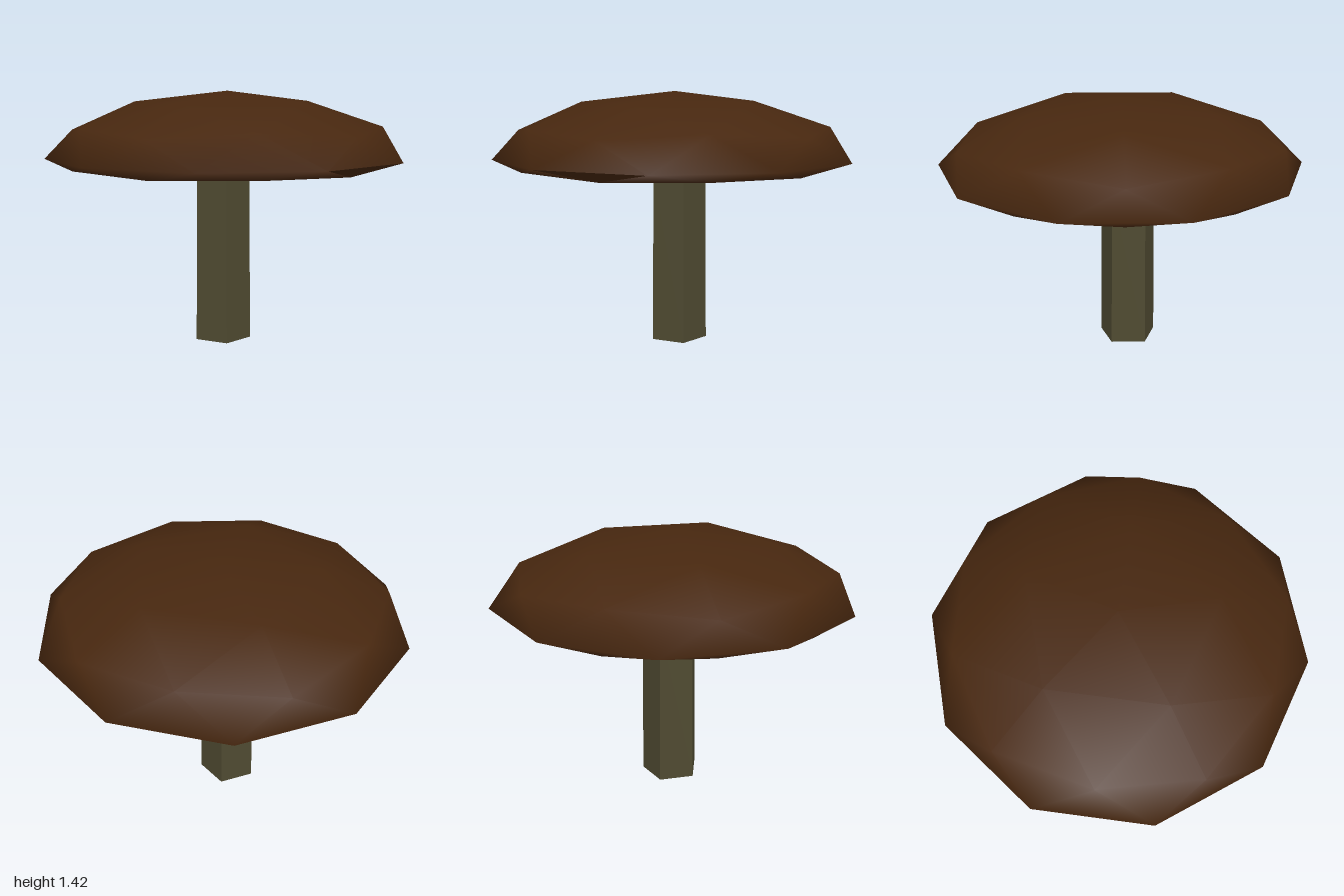
import * as THREE from 'three';

// Ring of n points; radius and height alternate through the given lists
function ring(n, startDeg, radii, heights, cx = 0) {
  return Array.from({ length: n }, (_, i) => {
    const a = THREE.MathUtils.degToRad(startDeg + (360 / n) * i);
    const r = radii[i % radii.length];
    return new THREE.Vector3(cx + r * Math.cos(a), heights[i % heights.length], r * Math.sin(a));
  });
}
const at = (list, i) => list[(i + list.length) % list.length];

// Mesh from triangles of shared points; smooth shares normals, otherwise faceted
function build(name, faces, material, smooth) {
  const points = [...new Set(faces.flat())];
  let geometry = new THREE.BufferGeometry().setFromPoints(points);
  geometry.setIndex(faces.flat().map((p) => points.indexOf(p)));
  if (!smooth) geometry = geometry.toNonIndexed();
  geometry.computeVertexNormals();
  const mesh = new THREE.Mesh(geometry, material);
  mesh.name = name;
  return mesh;
}

export function createModel() {
  const brown = new THREE.MeshStandardMaterial({ color: 0x47270f });
  brown.name = 'capBrown';
  const olive = new THREE.MeshStandardMaterial({ color: 0x4f4a31 });
  olive.name = 'stemOlive';

  // Cross-sections from the crown down to the foot
  const crown = new THREE.Vector3(0, 1.42, 0);
  const upper = ring(5, 0, [0.526], [1.36]);
  const shoulder = ring(10, 0, [0.894, 0.851], [1.2, 1.228]);
  const rim = ring(10, 18, [1], [1.057]);
  const lip = ring(10, 0, [0.851, 0.894], [1.0, 1.012]);
  const neck = ring(5, 36, [0.155], [0.945], -0.042);
  const foot = ring(5, 36, [0.163], [0.018], -0.042);
  const base = new THREE.Vector3(-0.042, 0, 0);

  const cap = [], facet = [], underside = [], stem = [];
  for (let k = 0; k < 5; k++) {
    const [u0, u1] = [at(upper, k), at(upper, k + 1)];
    const [s0, s1, s2] = [0, 1, 2].map((i) => at(shoulder, 2 * k + i));
    const [l0, l1, l2] = [0, 1, 2].map((i) => at(lip, 2 * k + i));
    const [n0, n1] = [at(neck, k), at(neck, k + 1)];
    const [f0, f1] = [at(foot, k), at(foot, k + 1)];
    cap.push([crown, u1, u0], [u0, u1, s1], [u0, s1, s0], [s1, u1, s2]);
    underside.push([l0, l1, n0], [l1, l2, n0], [n0, l2, n1]);
    stem.push([n0, n1, f0], [f0, n1, f1], [f0, f1, base]);
  }
  for (let j = 0; j < 10; j++) {
    const [r0, r1] = [at(rim, j), at(rim, j + 1)];
    const [s0, s1] = [at(shoulder, j), at(shoulder, j + 1)];
    const [l0, l1] = [at(lip, j), at(lip, j + 1)];
    cap.push([s0, s1, r0], [r0, s1, r1], [l0, r0, l1]);
    // One triangle on the +x side is a hard-edged facet
    (j === 9 ? facet : cap).push([r0, r1, l1]);
  }

  const model = new THREE.Group();
  model.name = 'mushroom';
  model.add(
    build('cap', cap, brown, true),
    build('capFacet', facet, brown, false),
    build('capUnderside', underside, olive, true),
    build('stem', stem, olive, false),
  );
  return model;
}
